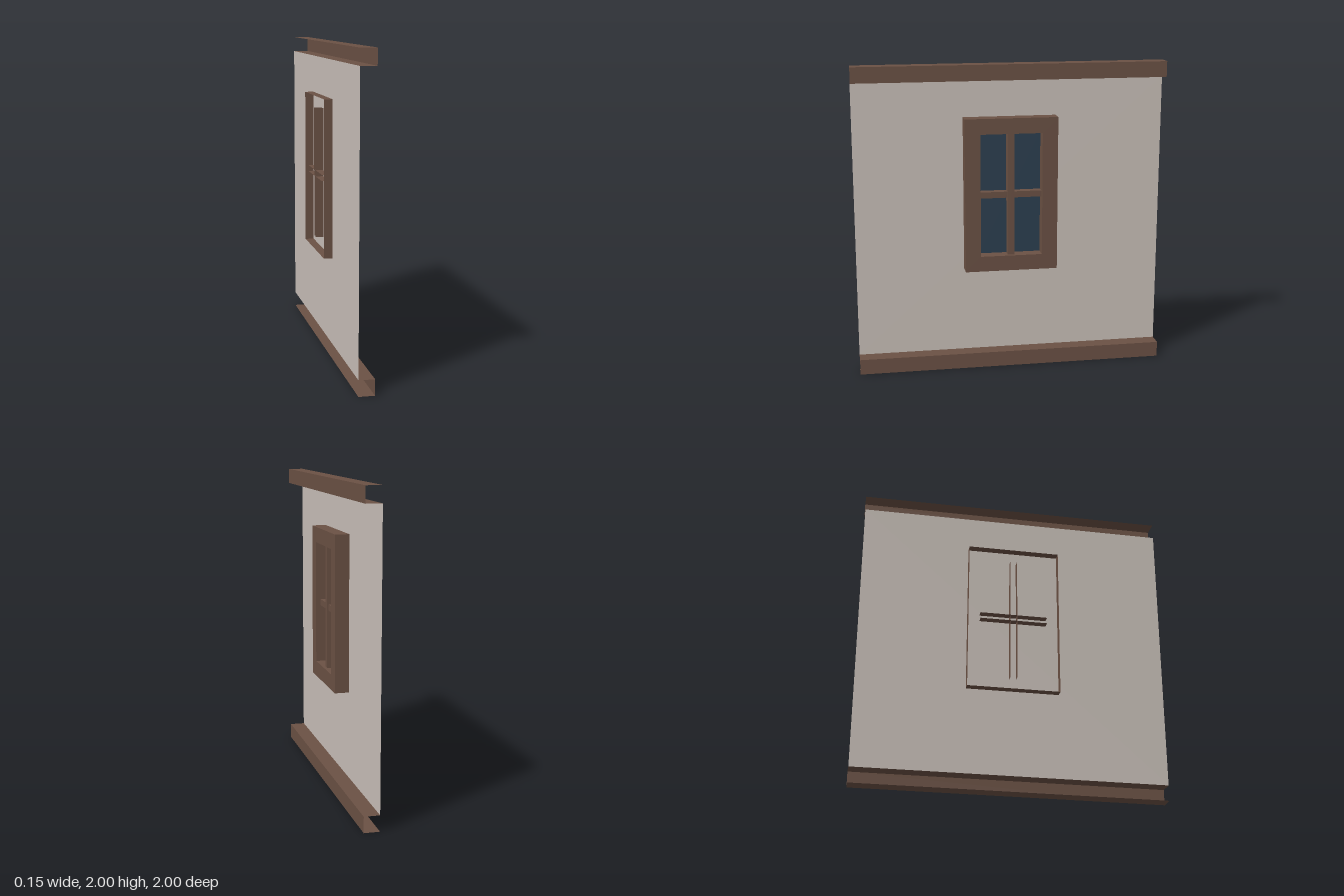
import * as THREE from 'three';

const FACES = ['+x', '-x', '+y', '-y', '+z', '-z'];

// Thin-walled box between two corners that keeps only the listed sides
function openBox(min, max, keep) {
  const size = max.map((v, i) => v - min[i]);
  const geo = new THREE.BoxGeometry(...size);
  const all = Array.from(geo.index.array);
  geo.setIndex(keep.flatMap((f) => {
    const start = FACES.indexOf(f) * 6;
    return all.slice(start, start + 6);
  }));
  geo.clearGroups();
  geo.translate(...max.map((v, i) => (v + min[i]) / 2));
  return geo;
}

export function createModel() {
  const mat = (name, color) => {
    const m = new THREE.MeshStandardMaterial({ color, side: THREE.DoubleSide });
    m.name = name;
    return m;
  };
  const wood = mat('brown wood', 0x6b5144);
  const plaster = mat('pale plaster', 0xc9c0b9);
  const glass = mat('dark blue glass', 0x2c3f50);

  const model = new THREE.Group();
  model.name = 'wallWithWindow';
  const add = (parent, name, geo, material) => {
    const mesh = new THREE.Mesh(geo, material);
    mesh.name = name;
    parent.add(mesh);
  };

  const wallX = -0.022;

  // Wall sheet between the two beams
  add(model, 'wall', openBox([wallX, 0.1, -1], [wallX, 1.9, 1], ['+x']), plaster);

  // Channel beams, open at the back and at both ends
  for (const [name, y] of [['bottomBeam', 0], ['topBeam', 1.9]]) {
    add(model, name, openBox([wallX, y, -1], [0.077, y + 0.1, 1], ['+x', '+y', '-y']), wood);
  }

  // Window, centred at y = 1.16
  const win = new THREE.Group();
  win.name = 'window';
  win.position.y = 1.16;
  model.add(win);

  const sides = ['+y', '-y', '+z', '-z'];
  const back = -0.077, front = 0.07;

  // Frame: outer sides, inner reveals and a flat ring in front
  add(win, 'frameSides', openBox([back, -0.5, -0.3], [front, 0.5, 0.3], sides), wood);
  add(win, 'frameReveals', openBox([wallX, -0.4, -0.2], [front, 0.4, 0.2], sides), wood);
  const rect = (Type, w, h) => new Type([[-w, -h], [w, -h], [w, h], [-w, h]]
    .map(([x, y]) => new THREE.Vector2(x, y)));
  const ring = rect(THREE.Shape, 0.3, 0.5);
  ring.holes.push(rect(THREE.Path, 0.2, 0.4));
  add(win, 'frameFace',
    new THREE.ShapeGeometry(ring).rotateY(Math.PI / 2).translate(front, 0, 0), wood);

  // Pane just in front of the wall
  add(win, 'pane', openBox([-0.012, -0.4, -0.2], [-0.012, 0.4, 0.2], ['+x']), glass);

  // Glazing bars: channels that pass through the wall
  add(win, 'verticalBar',
    openBox([-0.073, -0.42, -0.022], [0.05, 0.42, 0.022], ['+x', '+z', '-z']), wood);
  add(win, 'horizontalBar',
    openBox([-0.073, -0.02, -0.22], [0.04, 0.02, 0.22], ['+x', '+y', '-y']), wood);

  return model;
}
